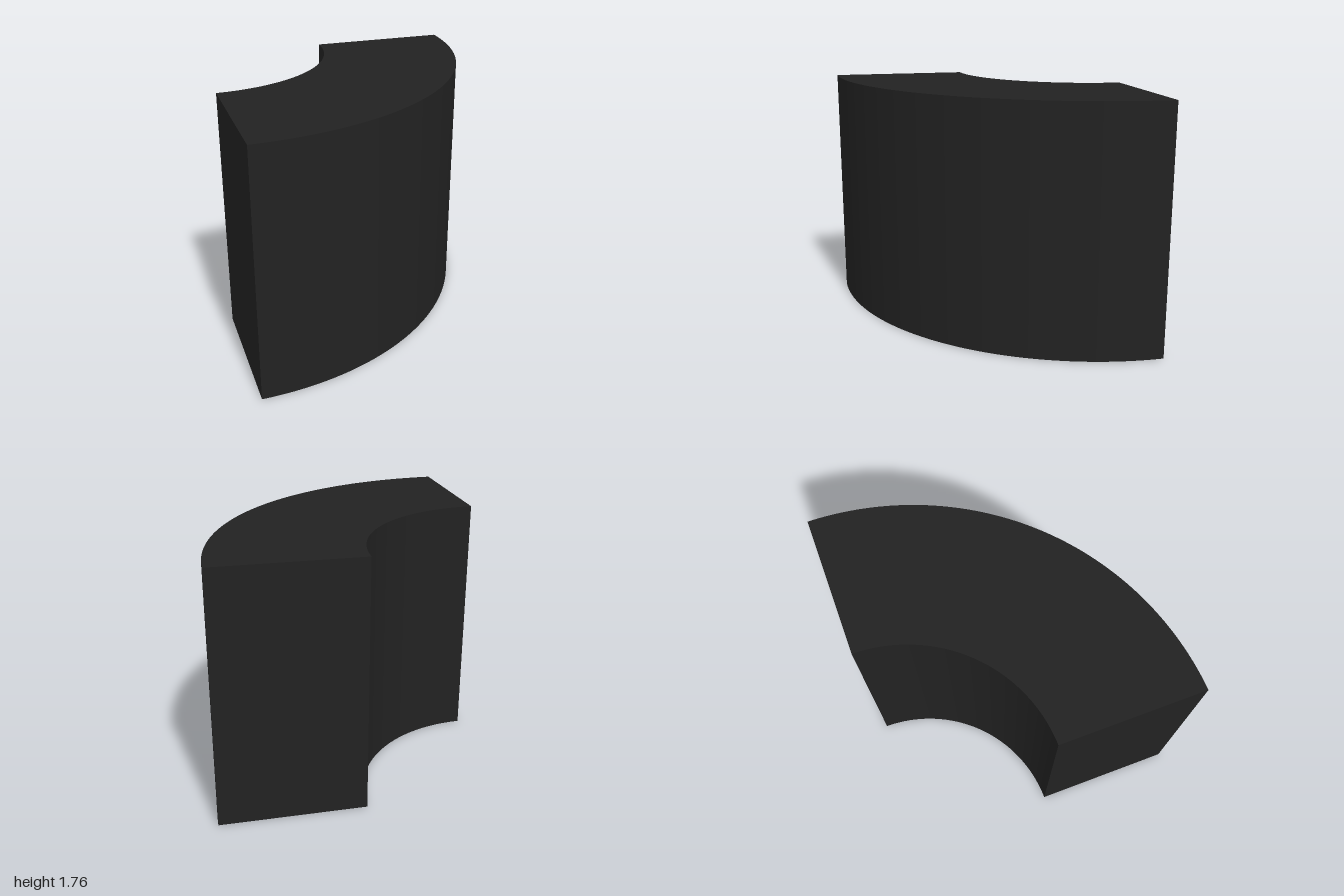
import * as THREE from 'three';
import { toCreasedNormals } from 'three/addons/utils/BufferGeometryUtils.js';

const HEIGHT = 1.765;
const INNER = 1;
const OUTER = 2;

export function createModel() {
  const group = new THREE.Group();
  group.name = 'quarterRingBlock';

  // Quarter-ring plan, centred on the back right corner
  const plan = new THREE.Shape();
  plan.absarc(-1, -1, OUTER, 0, Math.PI / 2, false);
  plan.absarc(-1, -1, INNER, Math.PI / 2, 0, true);
  plan.closePath();

  // Extrude, then lay the plan flat with its base on the ground
  let geometry = new THREE.ExtrudeGeometry(plan, {
    depth: HEIGHT,
    bevelEnabled: false,
    curveSegments: 64,
  });
  geometry.rotateX(Math.PI / 2);
  geometry.translate(0, HEIGHT, 0);
  geometry = toCreasedNormals(geometry, Math.PI / 6);

  const material = new THREE.MeshStandardMaterial({ color: 0x222222 });
  const block = new THREE.Mesh(geometry, material);
  block.name = 'curvedBlock';
  group.add(block);
  return group;
}
